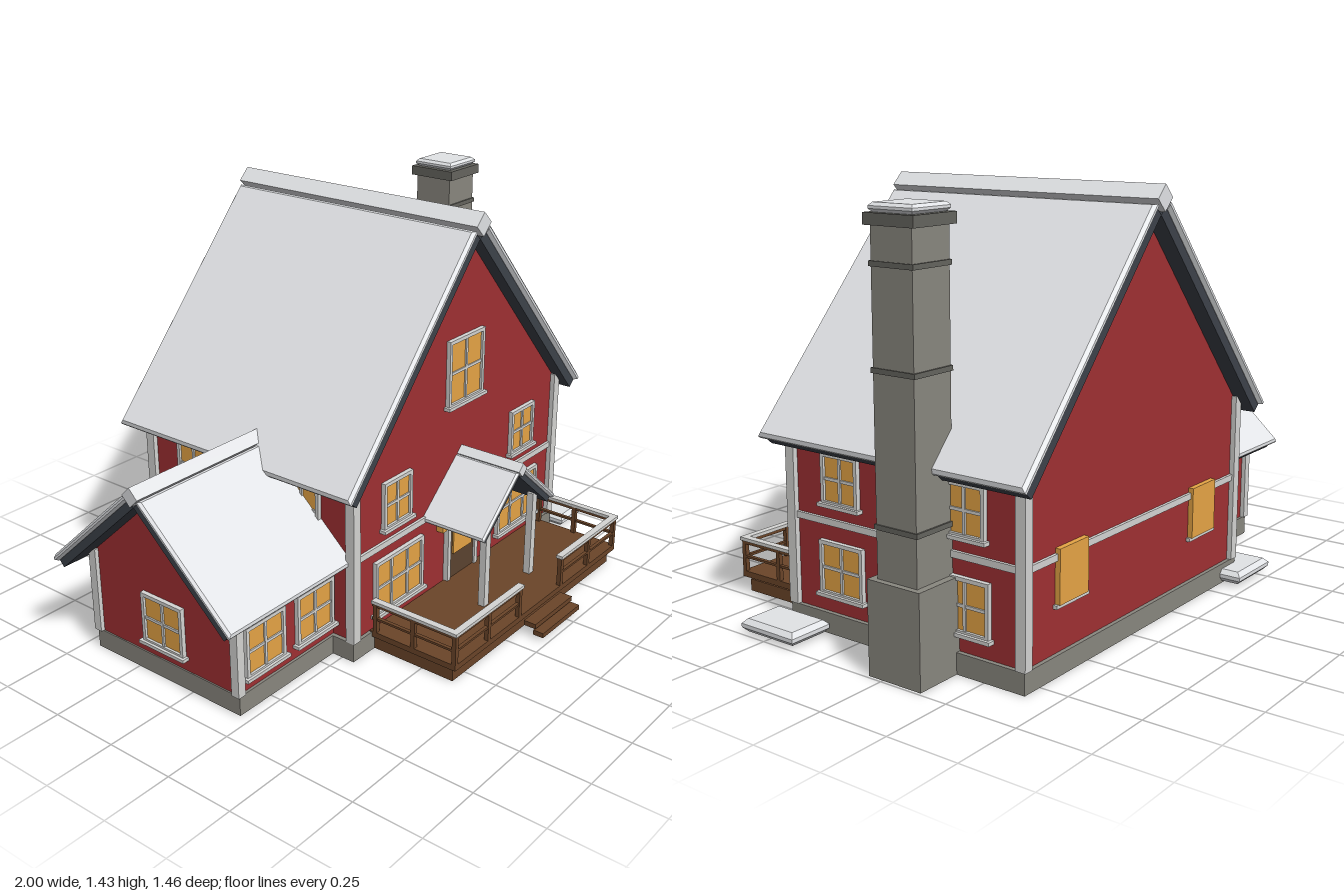
import * as THREE from 'three';

const mat = (name, color) => {
  const m = new THREE.MeshStandardMaterial({ color });
  m.name = name;
  return m;
};

export function createModel() {
  const red = mat('barn red', 0xa03033);
  const white = mat('trim white', 0xd6d6d4);
  const snow = mat('snow', 0xf0f2f5);
  const slate = mat('dark slate', 0x3e434b);
  const stone = mat('stone', 0x8a8880);
  const darkStone = mat('dark stone', 0x66655f);
  const glass = mat('warm glass', 0xe8a646);
  const wood = mat('deck wood', 0x6b4529);
  const doorWood = mat('door wood', 0x5c4430);

  const house = new THREE.Group();
  house.name = 'house';

  const mesh = (parent, name, geo, material) => {
    const m = new THREE.Mesh(geo, material);
    m.name = name;
    parent.add(m);
    return m;
  };
  // Box given by its extents
  const box = (parent, name, m, x0, x1, y0, y1, z0, z1) => {
    const b = mesh(parent, name, new THREE.BoxGeometry(x1 - x0, y1 - y0, z1 - z0), m);
    b.position.set((x0 + x1) / 2, (y0 + y1) / 2, (z0 + z1) / 2);
    return b;
  };
  // Slab with chamfered rims, centred, h tall
  const snowSlab = (parent, name, w, h, d) => {
    const b = h * 0.35, x = w / 2 - b, z = d / 2 - b;
    const s = new THREE.Shape([[-x, -z], [x, -z], [x, z], [-x, z]].map(p => new THREE.Vector2(...p)));
    const g = new THREE.ExtrudeGeometry(s, {
      depth: h - 2 * b, bevelEnabled: true, bevelSize: b, bevelThickness: b, bevelSegments: 1,
    });
    g.translate(0, 0, -(h - 2 * b) / 2).rotateX(-Math.PI / 2);
    return mesh(parent, name, g, snow);
  };
  // Gabled block, ridge along z
  const gableWalls = (name, half, base, eave, apex, length) => {
    const s = new THREE.Shape();
    s.moveTo(-half, base).lineTo(half, base).lineTo(half, eave).lineTo(0, apex).lineTo(-half, eave);
    const g = new THREE.ExtrudeGeometry(s, { depth: length, bevelEnabled: false });
    g.translate(0, 0, -length / 2);
    return mesh(house, name, g, red);
  };
  // Two pitched slabs with snow and a diamond ridge, ridge along z
  const roof = (name, o) => {
    const g = new THREE.Group();
    g.name = name;
    for (const side of [0, Math.PI]) {
      const turn = new THREE.Group();
      turn.rotation.y = side;
      const slope = new THREE.Group();
      slope.position.y = o.apex;
      slope.rotation.z = -o.angle;
      box(slope, 'roofBoard', slate, 0, o.run - 0.008, 0, o.board, -o.length / 2 + 0.012, o.length / 2 - 0.012);
      snowSlab(slope, 'roofSnow', o.run, o.snow, o.length).position.set(o.run / 2, o.board + o.snow / 2, 0);
      turn.add(slope);
      g.add(turn);
    }
    const ridge = mesh(g, 'ridgeSnow', new THREE.BoxGeometry(o.ridge, o.ridge, o.length + 0.005), snow);
    ridge.position.y = o.ridgeY;
    ridge.rotation.z = Math.PI / 4;
    house.add(g);
    return g;
  };
  // Framed window facing +z, turned by ry
  const windowAt = (x, y, z, w, h, ry = 0, cols = 2) => {
    const g = new THREE.Group(), f = 0.013, a = w / 2, b = h / 2;
    g.name = 'window';
    box(g, 'pane', glass, -a + f, a - f, -b + f, b - f, 0, 0.007);
    for (const s of [-1, 1]) {
      box(g, 'frameSide', white, s * (a - f / 2) - f / 2, s * (a - f / 2) + f / 2, -b, b, 0, 0.016);
      box(g, 'frameRail', white, -a, a, s * (b - f / 2) - f / 2, s * (b - f / 2) + f / 2, 0, 0.016);
    }
    for (let i = 1; i < cols; i++) {
      const mx = -a + (w * i) / cols;
      box(g, 'mullion', white, mx - 0.005, mx + 0.005, -b + f, b - f, 0, 0.013);
    }
    box(g, 'crossbar', white, -a + f, a - f, -0.005, 0.005, 0, 0.012);
    box(g, 'sill', white, -a - 0.01, a + 0.01, -b - 0.006, -b + 0.006, 0, 0.026);
    g.position.set(x, y, z);
    g.rotation.y = ry;
    house.add(g);
  };

  const CX = 0.195, HALF = 0.615, ZF = 0.287, ZB = -0.636, WZ = -0.12;

  // Main block
  box(house, 'mainFoundation', stone, CX - 0.63, CX + 0.63, 0, 0.07, -0.65, 0.3);
  gableWalls('mainWalls', HALF, 0.07, 0.655, 1.34, ZF - ZB).position.set(CX, 0, (ZF + ZB) / 2);
  roof('mainRoof', { apex: 1.34, angle: 0.84, run: 0.995, board: 0.034, snow: 0.03, length: 1.055, ridge: 0.06, ridgeY: 1.392 })
    .position.set(CX, 0, -0.178);
  for (const x of [CX - HALF, CX + HALF])
    for (const z of [ZF, ZB])
      box(house, 'cornerPost', white, x - 0.018, x + 0.018, 0.07, 0.665, z - 0.018, z + 0.018);
  box(house, 'trimBand', white, CX - HALF - 0.01, CX + HALF + 0.01, 0.362, 0.384, ZB - 0.01, ZF + 0.01);

  // Side wing
  box(house, 'wingFoundation', stone, -0.895, -0.4, 0, 0.07, WZ - 0.33, WZ + 0.33);
  const wing = gableWalls('wingWalls', 0.32, 0.07, 0.378, 0.67, 0.48);
  wing.rotation.y = Math.PI / 2;
  wing.position.set(-0.65, 0, WZ);
  const wingRoof = roof('wingRoof', { apex: 0.67, angle: 0.742, run: 0.503, board: 0.028, snow: 0.024, length: 0.6, ridge: 0.048, ridgeY: 0.71 });
  wingRoof.rotation.y = Math.PI / 2;
  wingRoof.position.set(-0.7, 0, WZ);
  for (const s of [-1, 1])
    box(house, 'wingCornerPost', white, -0.905, -0.873, 0.07, 0.385, WZ + s * 0.32 - 0.016, WZ + s * 0.32 + 0.016);

  // Windows
  for (const s of [-1, 1]) {
    windowAt(CX + s * 0.373, 0.22, ZF, 0.27, 0.205, 0, 3);
    windowAt(CX + s * 0.387, 0.515, ZF, 0.155, 0.175);
    // Plain rear panes
    box(house, 'rearPane', glass, CX + s * 0.387 - 0.075, CX + s * 0.387 + 0.075, 0.225, 0.4, ZB - 0.018, ZB);
    box(house, 'rearSill', white, CX + s * 0.387 - 0.085, CX + s * 0.387 + 0.085, 0.214, 0.226, ZB - 0.014, ZB);
  }
  windowAt(CX, 0.875, ZF, 0.21, 0.245);
  for (const z of [0.075, -0.425]) {
    windowAt(CX + HALF, 0.22, z, 0.185, 0.18, Math.PI / 2);
    windowAt(CX + HALF, 0.515, z, 0.155, 0.17, Math.PI / 2);
    windowAt(CX - HALF, 0.515, z, 0.155, 0.17, -Math.PI / 2);
  }
  for (const x of [-0.768, -0.524]) windowAt(x, 0.21, WZ + 0.32, 0.185, 0.185);
  windowAt(-0.89, 0.21, WZ, 0.185, 0.185, -Math.PI / 2);

  // Chimney
  const chim = (name, m, a, c, y0, y1) => box(house, name, m, 0.89 - a, 0.89 + a, y0, y1, -0.296 - c, -0.296 + c);
  chim('chimneyBase', stone, 0.1, 0.101, 0, 0.305);
  chim('chimneyShaft', stone, 0.08, 0.077, 0.305, 1.345);
  for (const y of [0.465, 0.93, 1.235]) chim('chimneyBand', darkStone, 0.084, 0.083, y - 0.008, y + 0.008);
  chim('chimneyCap', darkStone, 0.093, 0.094, 1.343, 1.378);
  snowSlab(house, 'chimneySnow', 0.165, 0.028, 0.165).position.set(0.89, 1.392, -0.296);

  // Door and lamps
  box(house, 'door', doorWood, 0.118, 0.272, 0.07, 0.31, ZF, ZF + 0.012);
  box(house, 'doorGlass', glass, 0.137, 0.253, 0.17, 0.27, ZF + 0.012, ZF + 0.018);
  for (const s of [-1, 1]) {
    box(house, 'doorJamb', white, CX + s * 0.086 - 0.009, CX + s * 0.086 + 0.009, 0.07, 0.31, ZF, ZF + 0.02);
    box(house, 'lamp', glass, CX + s * 0.13 - 0.012, CX + s * 0.13 + 0.012, 0.292, 0.328, ZF, ZF + 0.028);
  }
  box(house, 'doorHead', white, 0.1, 0.29, 0.31, 0.328, ZF, ZF + 0.02);

  // Porch deck and steps
  box(house, 'deckBase', wood, -0.32, 0.71, 0, 0.042, 0.29, 0.625);
  box(house, 'deckFloor', wood, -0.335, 0.725, 0.053, 0.074, 0.29, 0.645);
  box(house, 'upperStep', wood, 0.072, 0.317, 0.037, 0.055, 0.653, 0.7);
  box(house, 'lowerStep', wood, 0.072, 0.317, 0.013, 0.031, 0.692, 0.732);

  // Railings, mirrored about the door
  for (const s of [-1, 1]) {
    const bar = (name, m, u0, u1, y0, y1, z0, z1) =>
      box(house, name, m, CX + Math.min(s * u0, s * u1), CX + Math.max(s * u0, s * u1), y0, y1, z0, z1);
    bar('frontHandrail', white, 0.125, 0.535, 0.184, 0.196, 0.625, 0.65);
    bar('sideHandrail', white, 0.51, 0.535, 0.184, 0.196, 0.3, 0.625);
    for (const [y0, y1] of [[0.172, 0.184], [0.122, 0.13]]) {
      bar('frontRail', wood, 0.13, 0.53, y0, y1, 0.631, 0.644);
      bar('sideRail', wood, 0.516, 0.529, y0, y1, 0.3, 0.631);
    }
    for (const u of [0.138, 0.33, 0.522]) bar('railPost', wood, u - 0.008, u + 0.008, 0.074, 0.184, 0.629, 0.645);
    for (const z of [0.312, 0.47]) bar('railPost', wood, 0.514, 0.53, 0.074, 0.184, z - 0.008, z + 0.008);
    bar('porchPost', white, 0.134, 0.162, 0.074, 0.4, 0.485, 0.511);
  }

  // Porch roof
  roof('porchRoof', { apex: 0.525, angle: 0.716, run: 0.275, board: 0.02, snow: 0.02, length: 0.265, ridge: 0.036, ridgeY: 0.555 })
    .position.set(CX, 0, 0.411);

  // Snow drifts on the ground
  snowSlab(house, 'frontDrift', 0.165, 0.044, 0.23).position.set(0.915, 0.03, 0.238);
  snowSlab(house, 'backDrift', 0.22, 0.044, 0.135).position.set(-0.44, 0.03, -0.66);

  return house;
}
